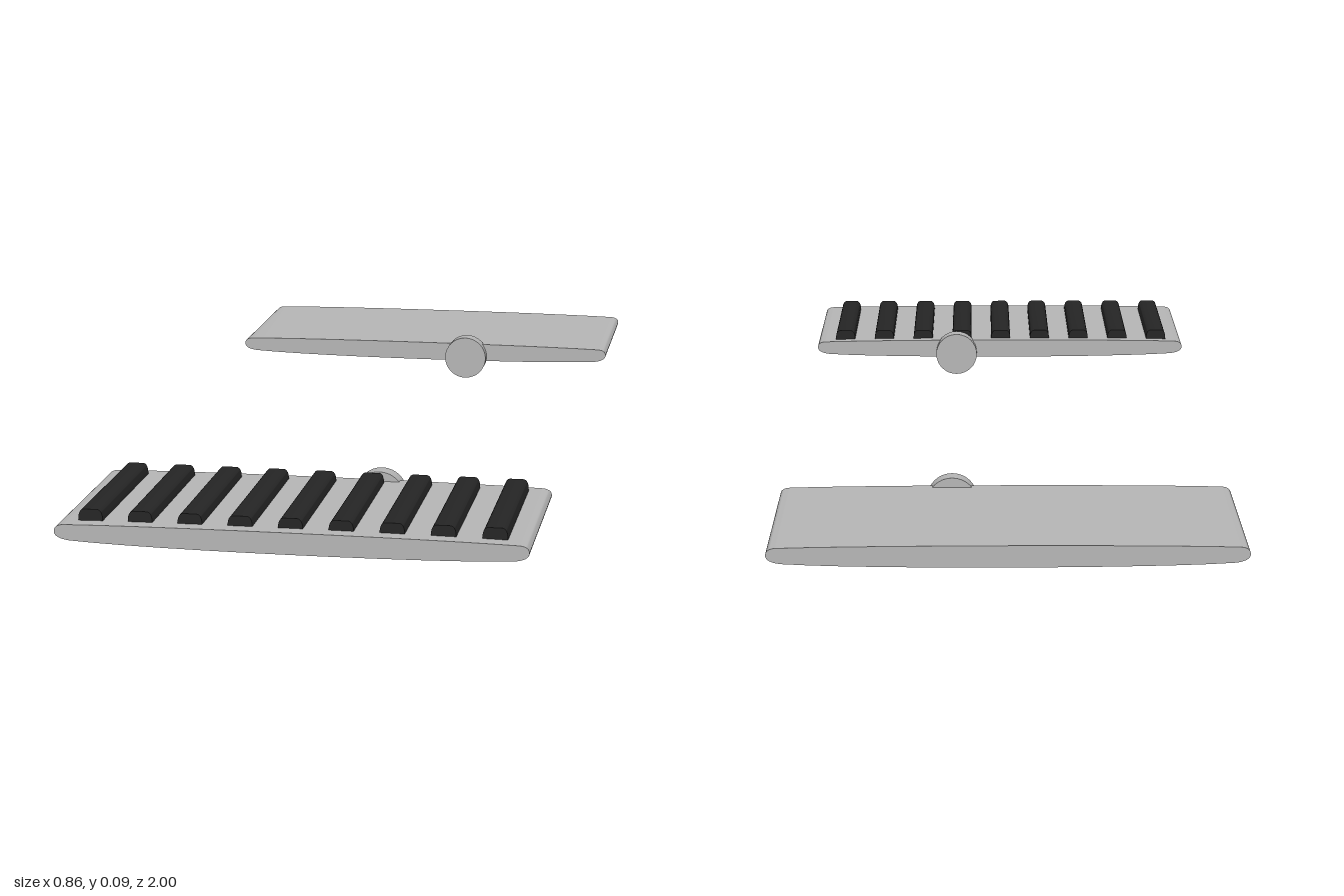
import * as THREE from 'three';
import { toCreasedNormals } from 'three/addons/utils/BufferGeometryUtils.js';

const metal = new THREE.MeshStandardMaterial({ name: 'light grey metal', color: 0xb8b8b8 });
const rubber = new THREE.MeshStandardMaterial({ name: 'black rubber', color: 0x262626 });

function addMesh(parent, name, geometry, material) {
  const mesh = new THREE.Mesh(geometry, material);
  mesh.name = name;
  parent.add(mesh);
  return mesh;
}

// extrude a side profile along z with smooth curves and sharp rims
function extrude(shape, depth) {
  const g = new THREE.ExtrudeGeometry(shape, { depth, bevelEnabled: false, curveSegments: 12 });
  return toCreasedNormals(g, 0.6);
}

// shallow curved plate with rounded ends
function plateShape() {
  const s = new THREE.Shape();
  s.moveTo(-0.40, 0.044);
  s.bezierCurveTo(-0.25, 0.034, 0.25, 0.034, 0.40, 0.044);
  s.quadraticCurveTo(0.428, 0.047, 0.428, 0.06);
  s.quadraticCurveTo(0.428, 0.072, 0.41, 0.073);
  s.bezierCurveTo(0.25, 0.078, -0.25, 0.078, -0.41, 0.073);
  s.quadraticCurveTo(-0.428, 0.072, -0.428, 0.06);
  s.quadraticCurveTo(-0.428, 0.047, -0.40, 0.044);
  return s;
}

// grip bar with rounded upper edges
function gripShape() {
  const s = new THREE.Shape();
  s.moveTo(-0.023, 0.07);
  s.lineTo(0.023, 0.07);
  s.lineTo(0.022, 0.083);
  s.quadraticCurveTo(0.02, 0.094, 0.013, 0.095);
  s.lineTo(-0.013, 0.095);
  s.quadraticCurveTo(-0.02, 0.094, -0.022, 0.083);
  s.closePath();
  return s;
}

export function createModel() {
  const model = new THREE.Group();
  model.name = 'pedalPair';
  const plate = extrude(plateShape(), 0.384);
  const grip = extrude(gripShape(), 0.332);
  const hub = new THREE.CylinderGeometry(0.0475, 0.0475, 0.034, 32).rotateX(Math.PI / 2);

  for (const side of [1, -1]) {
    const pedal = new THREE.Group();
    pedal.name = side > 0 ? 'frontPedal' : 'rearPedal';
    addMesh(pedal, 'plate', plate, metal).position.z = side > 0 ? 0.616 : -1;
    // axle disc on the inner edge
    addMesh(pedal, 'axleDisc', hub, metal).position.set(0.102, 0.0475, side * 0.612);
    // only the front pedal has grip bars
    if (side > 0) {
      for (let i = 0; i < 9; i++) {
        addMesh(pedal, 'gripBar', grip, rubber).position.set(-0.368 + i * 0.0915, 0, 0.638);
      }
    }
    model.add(pedal);
  }
  return model;
}
